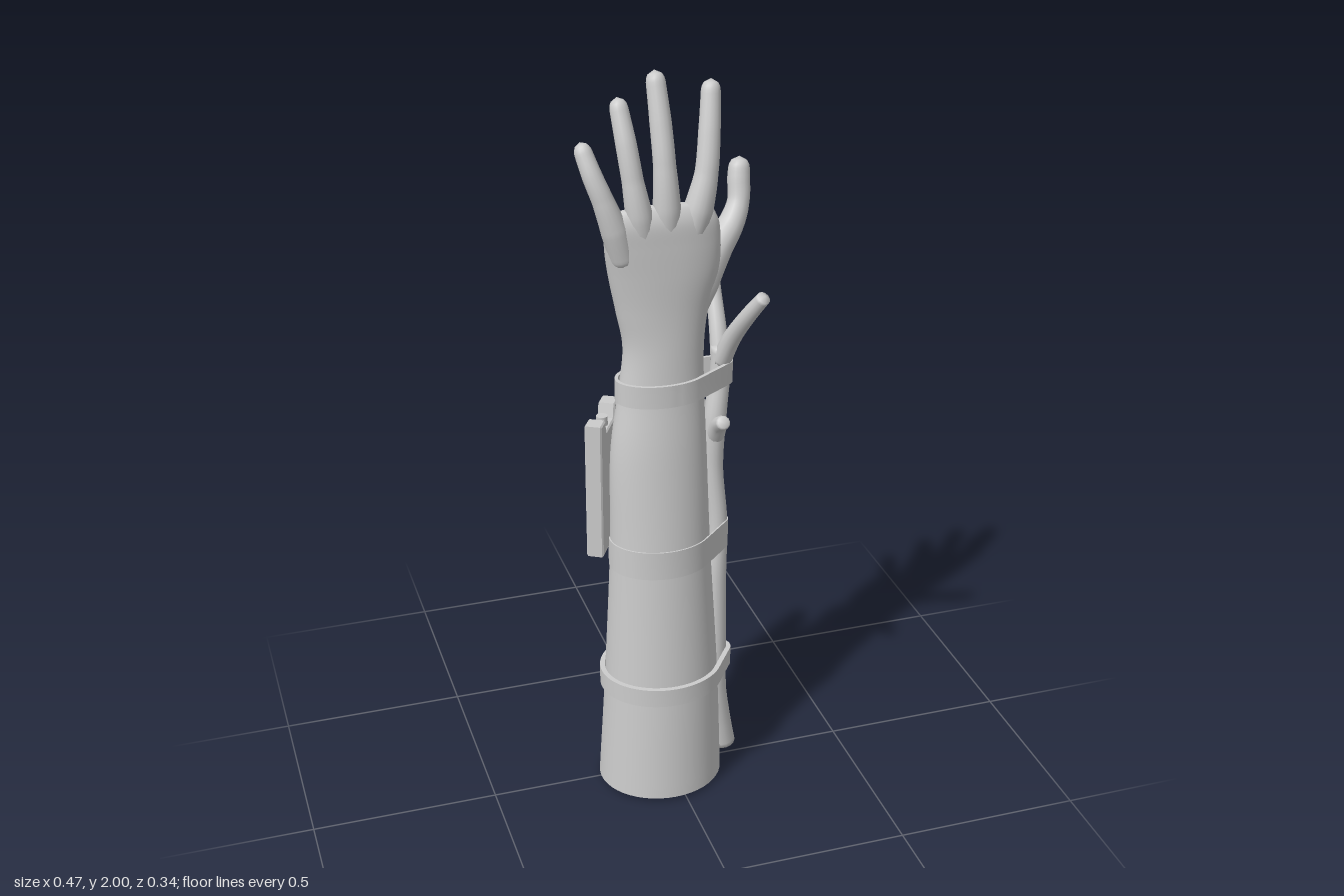
import * as THREE from 'three';
import { mergeVertices, toCreasedNormals } from 'three/addons/utils/BufferGeometryUtils.js';

const material = new THREE.MeshStandardMaterial({ color: 0xcccccc });

function add(parent, name, geometry) {
  const mesh = new THREE.Mesh(geometry, material);
  mesh.name = name;
  parent.add(mesh);
  return mesh;
}

function smooth(geometry) {
  geometry.deleteAttribute('uv');
  geometry.deleteAttribute('normal');
  const merged = mergeVertices(geometry, 1e-5);
  merged.computeVertexNormals();
  return merged;
}

// Tapered limb through [x, y, z, radius] points; tip = length of the rounded end
function limb(points, tip, segments = 48, sides = 16) {
  const curve = new THREE.CatmullRomCurve3(points.map(p => new THREE.Vector3(p[0], p[1], p[2])));
  const geometry = new THREE.TubeGeometry(curve, segments, 1, sides);
  const pos = geometry.attributes.position, length = curve.getLength();
  const v = new THREE.Vector3();
  for (let i = 0; i <= segments; i++) {
    const u = i / segments, center = curve.getPointAt(u);
    const t = curve.getUtoTmapping(u) * (points.length - 1);
    const k = Math.min(Math.floor(t), points.length - 2);
    let r = THREE.MathUtils.lerp(points[k][3], points[k + 1][3], t - k);
    for (const d of [u * length, (1 - u) * length]) {
      if (d < tip) r *= Math.sqrt(Math.max(0, 1 - (1 - d / tip) ** 2));
    }
    if (i === 0 || i === segments) r = 0;
    for (let j = 0; j <= sides; j++) {
      const n = i * (sides + 1) + j;
      v.fromBufferAttribute(pos, n).sub(center).multiplyScalar(r).add(center);
      pos.setXYZ(n, v.x, v.y, v.z);
    }
  }
  return smooth(geometry);
}

// Loft through [y, centre x, centre z, radius x, radius z, squareness] sections
function loft(sections, rows = 90, sides = 48) {
  const centers = new THREE.CatmullRomCurve3(
    sections.map(s => new THREE.Vector3(s[1], s[0], s[2])), false, 'catmullrom');
  const radii = new THREE.CatmullRomCurve3(
    sections.map(s => new THREE.Vector3(s[3], s[4], s[5])), false, 'catmullrom');
  const positions = [], index = [];
  const power = (value, n) => Math.sign(value) * Math.abs(value) ** (2 / n);
  for (let i = 0; i <= rows; i++) {
    const c = centers.getPoint(i / rows), r = radii.getPoint(i / rows);
    for (let j = 0; j < sides; j++) {
      const a = j / sides * Math.PI * 2;
      positions.push(c.x + r.x * power(Math.cos(a), r.z), c.y, c.z + r.y * power(Math.sin(a), r.z));
      if (i < rows) {
        const p = i * sides + j, q = i * sides + (j + 1) % sides;
        index.push(p, p + sides, q, p + sides, q + sides, q);
      }
    }
  }
  const geometry = new THREE.BufferGeometry();
  geometry.setAttribute('position', new THREE.Float32BufferAttribute(positions, 3));
  geometry.setIndex(index);
  geometry.computeVertexNormals();
  return geometry;
}

// Strap pulled tight around the forearm ellipse and the round branch
function strap(bottom, top, arm, branch, thickness) {
  const outline = offset => {
    const points = [];
    for (let i = 0; i < 72; i++) {
      const a = i / 72 * Math.PI * 2, c = Math.cos(a), s = Math.sin(a);
      const reach = Math.hypot(arm[2] * c, arm[3] * s);
      const onArm = arm[0] * c + arm[1] * s + reach;
      const onBranch = branch[0] * c + branch[1] * s + branch[2];
      const p = onArm > onBranch
        ? [arm[0] + arm[2] ** 2 * c / reach, arm[1] + arm[3] ** 2 * s / reach]
        : [branch[0] + branch[2] * c, branch[1] + branch[2] * s];
      points.push(new THREE.Vector2(p[0] + offset * c, p[1] + offset * s));
    }
    return points;
  };
  const shape = new THREE.Shape(outline(thickness));
  shape.holes.push(new THREE.Path(outline(0)));
  const geometry = new THREE.ExtrudeGeometry(shape, { depth: top - bottom, bevelEnabled: false });
  geometry.rotateX(Math.PI / 2).translate(0, top, 0);
  return toCreasedNormals(geometry, 0.7);
}

export function createModel() {
  const model = new THREE.Group();
  model.name = 'forearm';

  // Sleeve, wrist and palm in one flowing surface
  add(model, 'armAndPalm', loft([
    [0.01, -0.03, 0.017, 0.17, 0.153, 2],
    [0.33, -0.027, 0.02, 0.155, 0.135, 2],
    [0.72, -0.03, 0.023, 0.135, 0.106, 2],
    [1.0, -0.033, 0.02, 0.128, 0.085, 2],
    [1.17, -0.025, 0.016, 0.114, 0.07, 2],
    [1.3, -0.018, 0.016, 0.106, 0.062, 2],
    [1.4, -0.02, 0.015, 0.12, 0.06, 2.1],
    [1.5, -0.018, 0.02, 0.142, 0.056, 2.2],
    [1.58, -0.024, 0.03, 0.148, 0.046, 2.3],
    [1.64, -0.03, 0.04, 0.142, 0.034, 2.3],
    [1.675, -0.032, 0.042, 0.11, 0.018, 2.2],
    [1.685, -0.032, 0.042, 0.002, 0.001, 2]
  ]));
  const base = new THREE.CircleGeometry(1, 48).scale(0.17, 0.153, 1).rotateX(Math.PI / 2);
  add(model, 'armBase', base).position.set(-0.03, 0.01, 0.017);

  // Fingers and thumb
  const fingers = {
    littleFinger: [[-0.12, 1.53, 0.03, 0.034], [-0.15, 1.63, 0.042, 0.034], [-0.178, 1.71, 0.042, 0.027],
      [-0.2, 1.77, 0.03, 0.025], [-0.221, 1.845, 0, 0.021]],
    ringFinger: [[-0.07, 1.55, 0.03, 0.034], [-0.088, 1.66, 0.045, 0.034], [-0.102, 1.75, 0.04, 0.027],
      [-0.113, 1.84, 0.022, 0.026], [-0.124, 1.942, -0.015, 0.022]],
    middleFinger: [[-0.015, 1.55, 0.03, 0.034], [-0.018, 1.67, 0.045, 0.035], [-0.022, 1.78, 0.04, 0.028],
      [-0.025, 1.88, 0.018, 0.027], [-0.03, 2, -0.016, 0.023]],
    indexFinger: [[0.035, 1.54, 0.025, 0.036], [0.064, 1.66, 0.04, 0.037], [0.085, 1.75, 0.037, 0.029],
      [0.098, 1.85, 0.018, 0.027], [0.111, 1.968, -0.012, 0.023]],
    thumb: [[0.03, 1.34, 0.008, 0.045], [0.08, 1.45, -0.004, 0.052], [0.128, 1.53, -0.018, 0.044],
      [0.176, 1.585, -0.036, 0.033], [0.2, 1.635, -0.053, 0.028], [0.206, 1.69, -0.07, 0.029],
      [0.211, 1.742, -0.082, 0.025]]
  };
  for (const [name, points] of Object.entries(fingers)) add(model, name, limb(points, 0.028));

  // Forked branch strapped to the arm
  const branch = new THREE.Group();
  branch.name = 'branch';
  model.add(branch);
  add(branch, 'stem', limb([
    [0.178, 0, -0.045, 0.036], [0.162, 0.1, -0.03, 0.031], [0.145, 0.22, -0.015, 0.028],
    [0.14, 0.36, -0.003, 0.027], [0.135, 0.6, 0, 0.028], [0.139, 0.75, -0.005, 0.027],
    [0.127, 0.92, -0.012, 0.027], [0.131, 1.06, -0.012, 0.03], [0.147, 1.18, -0.023, 0.027],
    [0.152, 1.27, -0.024, 0.028]], 0.012, 96));
  const twigs = {
    upperFrontTwig: [[0.148, 1.21, -0.025, 0.026], [0.165, 1.295, 0.015, 0.024], [0.188, 1.38, 0.075, 0.021], [0.214, 1.445, 0.12, 0.018]],
    upperBackTwig: [[0.148, 1.21, -0.022, 0.026], [0.15, 1.3, -0.055, 0.023], [0.153, 1.4, -0.105, 0.02], [0.161, 1.515, -0.158, 0.017]],
    lowerFrontTwig: [[0.13, 1.01, -0.01, 0.026], [0.128, 1.06, 0.03, 0.022], [0.125, 1.09, 0.078, 0.018]],
    lowerBackTwig: [[0.13, 1.01, -0.012, 0.026], [0.115, 1.06, -0.045, 0.021], [0.095, 1.1, -0.085, 0.018]]
  };
  for (const [name, points] of Object.entries(twigs)) add(branch, name, limb(points, 0.01, 32, 12));

  // Straps
  add(model, 'lowerStrap', strap(0.31, 0.362, [-0.027, 0.02, 0.155, 0.135], [0.14, -0.003, 0.026], 0.013));
  add(model, 'middleStrap', strap(0.685, 0.765, [-0.03, 0.023, 0.134, 0.106], [0.138, -0.004, 0.025], 0.004));
  add(model, 'wristStrap', strap(1.16, 1.22, [-0.024, 0.016, 0.112, 0.068], [0.147, -0.023, 0.024], 0.009));

  // Flat device on the outer back side: notched plate with a knob in the notch
  const device = new THREE.Group();
  device.name = 'device';
  device.position.set(-0.169, 0.738, -0.03);
  device.rotation.y = Math.PI / 3;
  model.add(device);
  const plate = new THREE.Shape([
    [-0.093, 0], [0.093, 0], [0.093, 0.377], [0.05, 0.377], [0.04, 0.34],
    [-0.04, 0.34], [-0.05, 0.377], [-0.093, 0.377]
  ].map(p => new THREE.Vector2(...p)));
  const plateGeometry = new THREE.ExtrudeGeometry(plate, {
    depth: 0.037, bevelThickness: 0.004, bevelSize: 0.004, bevelOffset: -0.004, bevelSegments: 1
  });
  add(device, 'plate', plateGeometry.translate(0, 0, -0.0185));
  add(device, 'knob', new THREE.CylinderGeometry(0.015, 0.015, 0.03, 24)).position.set(0, 0.35, 0);

  return model;
}
